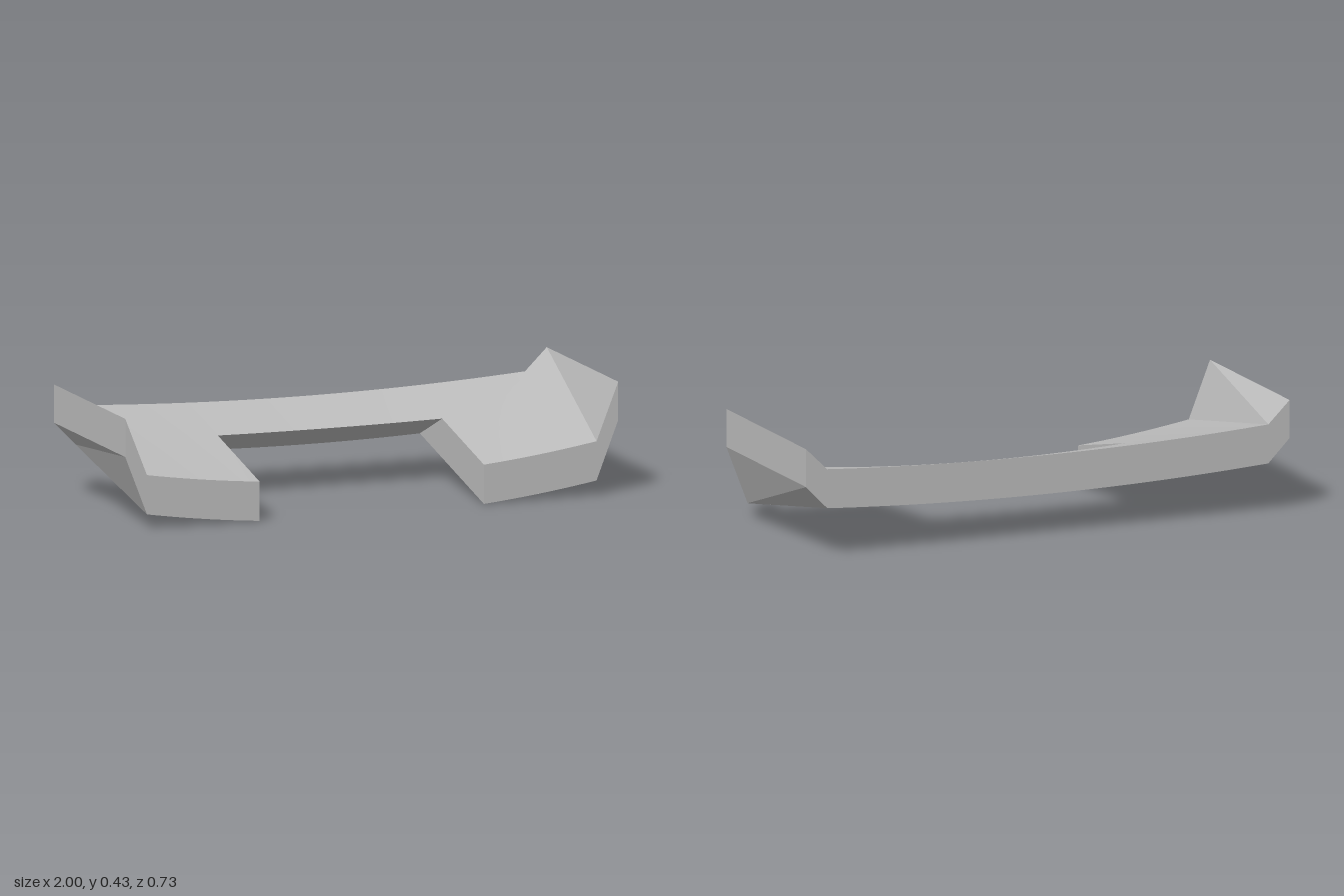
import * as THREE from 'three';

const Z = 0.367, EDGE = 0.912, ARM = 0.455, THICK = 0.151;
const grey = new THREE.MeshStandardMaterial({ color: 0xbcbcbc, side: THREE.DoubleSide });
grey.name = 'plain grey';

// Dished, tilted deck surface: more curved at the front, higher at the back
const top = (x, z) => {
  const t = (Z - z) / (2 * Z);
  return new THREE.Vector3(x, (0.133 + 0.092 * x * x) * (1 - t) + (0.315 + 0.037 * x * x) * t, z);
};
const low = (x, z) => top(x, z).setY(top(x, z).y - THICK);

function mesh(name, points, index) {
  let g = new THREE.BufferGeometry().setFromPoints(points);
  if (index) g.setIndex(index);
  g.computeVertexNormals();
  const m = new THREE.Mesh(g, grey);
  m.name = name;
  return m;
}

// Ruled strip between two curves a(x) and b(x)
function strip(name, x0, x1, a, b) {
  const n = Math.max(2, Math.round((x1 - x0) / 0.05)), pts = [], idx = [];
  for (let i = 0; i <= n; i++) {
    const x = x0 + (x1 - x0) * i / n;
    pts.push(a(x), b(x));
    if (i < n) {
      const k = 2 * i;
      idx.push(k, k + 2, k + 3, k, k + 3, k + 1);
    }
  }
  return mesh(name, pts, idx);
}

// Flat-faced polygons, each fanned from its first corner
function facets(name, polys) {
  const pts = [];
  for (const p of polys)
    for (let i = 1; i < p.length - 1; i++) pts.push(p[0].clone(), p[i].clone(), p[i + 1].clone());
  return mesh(name, pts);
}

export function createModel() {
  const model = new THREE.Group();
  model.name = 'dishedTray';
  const add = (...args) => model.add(strip(...args));

  // Bridge across the back, with an undercut front edge
  const lip = x => top(x, -0.08 + 0.09 * x * x);
  const undercut = x => low(x, -0.29);
  add('bridgeTop', -ARM, ARM, lip, x => top(x, -Z));
  add('bridgeUnderside', -ARM, ARM, x => low(x, -Z), undercut);
  add('bridgeUndercut', -ARM, ARM, undercut, lip);
  add('backFace', -EDGE, EDGE, x => top(x, -Z), x => low(x, -Z));

  // Arms reaching forward
  for (const [x0, x1] of [[-EDGE, -ARM], [ARM, EDGE]]) {
    add('armTop', x0, x1, x => top(x, Z), x => top(x, -Z));
    add('armFront', x0, x1, x => low(x, Z), x => top(x, Z));
  }
  const under = (x0, x1, back = () => -Z, front = () => Z) =>
    add('armUnderside', x0, x1, x => low(x, back(x)), x => low(x, front(x)));
  under(-EDGE, -ARM);

  // Left arm underside, with a small opening into the hollow shell
  const holeFront = x => -0.035 + (x - 0.61) * 0.5;
  const holeBack = x => -0.12 + (x - 0.61) * 0.07;
  under(ARM, 0.61);
  under(0.61, 0.75, () => -Z, holeBack);
  under(0.61, 0.75, holeFront);
  under(0.75, EDGE);

  for (const s of [1, -1]) {
    // Inner wall of the arm
    const wall = [low(s * ARM, Z), lip(s * ARM), undercut(s * ARM)];
    const corner = top(s * ARM, Z);
    model.add(facets('armInnerWall', [s > 0
      ? [corner, wall[1], wall[2], wall[0]]
      : [corner, wall[0], wall[2], wall[1]]]));

    // Raised, twisted end fin
    const z1 = s * Z, z2 = -s * Z, e = s * EDGE;
    const P1 = top(e, z1), P2 = top(e, z2), Q1 = low(e, z1), Q2 = low(e, z2);
    const tip = (y, z) => new THREE.Vector3(s, y, z);
    const T1 = tip(0.432, z1), T2 = tip(0.432, z2), L1 = tip(0.285, z1), L2 = tip(0.285, z2);
    model.add(facets(s > 0 ? 'leftFin' : 'rightFin', [
      [P1, T2, P2], [P1, T1, T2],
      [Q1, L2, L1], [Q1, Q2, L2],
      [L1, L2, T2, T1],
      [Q1, L1, T1, P1], [Q2, P2, T2, L2],
    ]));
  }
  return model;
}
